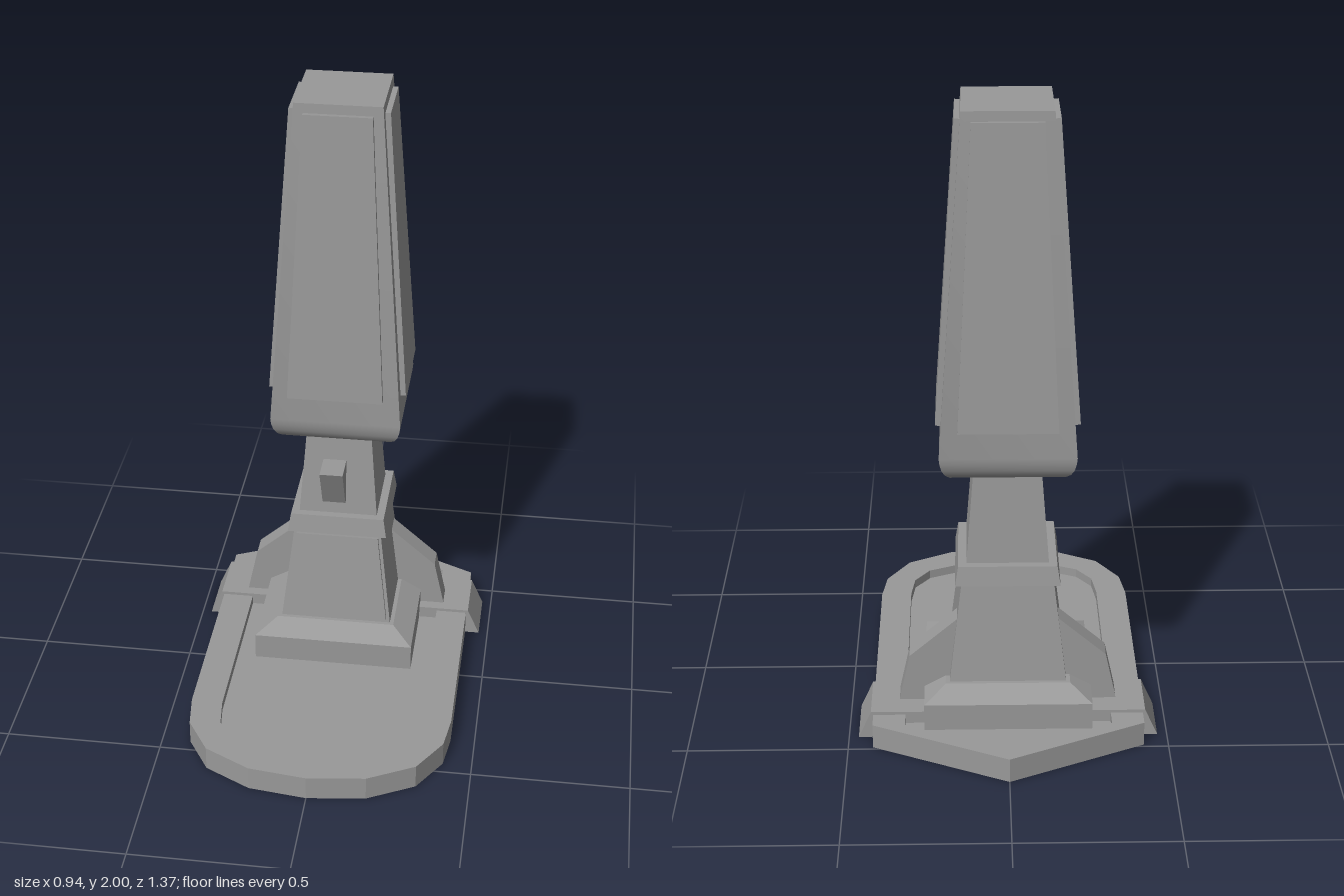
import * as THREE from 'three';
import { toCreasedNormals } from 'three/addons/utils/BufferGeometryUtils.js';

const AXIS_Z = -0.21; // the tower stands behind the middle of the base

export function createModel() {
  const root = new THREE.Group();
  root.name = 'pylon';
  const grey = new THREE.MeshStandardMaterial({ color: 0x999999, side: THREE.DoubleSide });
  grey.name = 'plainGrey';

  const add = (parent, name, geometry) => {
    const mesh = new THREE.Mesh(geometry, grey);
    mesh.name = name;
    parent.add(mesh);
    return mesh;
  };
  const vectors = (points) => points.map(([x, y]) => new THREE.Vector2(x, y));

  // Square tower section from [half width, height] pairs, bottom to top
  const square = (profile) => {
    const first = profile[0][1], last = profile[profile.length - 1][1];
    const points = profile.map(([half, y]) => [half * Math.SQRT2, y]);
    const geo = new THREE.LatheGeometry(
      vectors([[0, first], ...points, [0, last]]), 4, Math.PI / 4);
    return toCreasedNormals(geo, 0.45);
  };

  // Open ribbon following 2D points, running along z from h0 to h1
  const ribbon = (points, h0, h1, closed) => {
    const pos = [];
    const count = closed ? points.length : points.length - 1;
    for (let i = 0; i < count; i++) {
      const [ax, ay] = points[i];
      const [bx, by] = points[(i + 1) % points.length];
      pos.push(ax, ay, h0, bx, by, h0, bx, by, h1, ax, ay, h0, bx, by, h1, ax, ay, h1);
    }
    const geo = new THREE.BufferGeometry();
    geo.setAttribute('position', new THREE.Float32BufferAttribute(pos, 3));
    geo.computeVertexNormals();
    return geo;
  };

  // Trapezoid plate lying on a tapered face between two heights
  const plate = (y0, w0, r0, y1, w1, r1, thick) => {
    const len = Math.hypot(y1 - y0, r0 - r1);
    const shape = new THREE.Shape(vectors([[-w0, 0], [w0, 0], [w1, len], [-w1, len]]));
    const geo = new THREE.ExtrudeGeometry(shape, { depth: thick + 0.005, bevelEnabled: false });
    geo.translate(0, 0, -0.005);
    geo.rotateX(-Math.atan2(r0 - r1, y1 - y0));
    return geo.translate(0, y0, r0);
  };

  // Base tray: pointed at the back, round at the front, open underneath
  const mirrored = (half) => [
    ...half, ...half.slice(1, -1).reverse().map(([x, y]) => [-x, y])];
  const outer = mirrored([[0, -0.68], [0.185, -0.657], [0.333, -0.58], [0.408, -0.46],
    [0.423, -0.345], [0.423, 0.49], [0, 0.688]]);
  const inner = mirrored([[0, -0.585], [0.15, -0.565], [0.26, -0.518], [0.31, -0.448],
    [0.322, -0.35], [0.322, 0.49], [0, 0.635]]);
  const base = new THREE.Group();
  base.name = 'base';
  root.add(base);
  const rim = new THREE.Shape(vectors(outer));
  rim.holes.push(new THREE.Path(vectors(inner)));
  const flat = (geo, y) => geo.rotateX(-Math.PI / 2).translate(0, y, 0);
  add(base, 'baseWall', flat(ribbon(outer, 0, 0.08, true), 0));
  add(base, 'recessWall', flat(ribbon([...inner].reverse(), 0.05, 0.08, true), 0));
  add(base, 'baseRim', flat(new THREE.ShapeGeometry(rim), 0.08));
  add(base, 'baseFloor', flat(new THREE.ShapeGeometry(new THREE.Shape(vectors(inner))), 0.05));

  // Strap across the base, open underneath
  const strap = new THREE.Group();
  strap.name = 'crossStrap';
  root.add(strap);
  const strapOutline = [[0.47, 0], [0.43, 0.09], [-0.43, 0.09], [-0.47, 0]];
  add(strap, 'strapTop', ribbon(strapOutline, -0.43, -0.247, false));
  const strapEnd = new THREE.ShapeGeometry(new THREE.Shape(vectors(strapOutline)));
  add(strap, 'strapFront', strapEnd).position.z = -0.247;
  add(strap, 'strapBack', strapEnd.clone().rotateY(Math.PI)).position.z = -0.43;

  // Tower sections
  const tower = new THREE.Group();
  tower.name = 'tower';
  tower.position.z = AXIS_Z;
  root.add(tower);
  add(tower, 'plinth', square([[0.262, 0.045], [0.262, 0.138], [0.195, 0.176]]));
  add(tower, 'lowerColumn', square([[0.183, 0.17], [0.143, 0.505]]));
  add(tower, 'collar', square([[0.163, 0.502], [0.153, 0.565]]));
  add(tower, 'upperColumn', square([[0.128, 0.56], [0.103, 0.885]]));
  add(tower, 'head', square([[0.175, 0.88], [0.189, 0.893], [0.199, 0.912],
    [0.205, 0.935], [0.207, 0.955], [0.134, 2]]));

  // Thin panel on the front of the lower column
  add(tower, 'columnPanel', plate(0.188, 0.17, 0.181, 0.49, 0.135, 0.145, 0.012));

  // Raised panels on all four sides of the head
  for (let i = 0; i < 4; i++) {
    const panel = add(tower, 'headPanel', plate(1.04, 0.151, 0.201, 1.97, 0.105, 0.136, 0.017));
    panel.rotation.y = i * Math.PI / 2;
  }

  // Wedge-shaped hook on the front; its outline is (z, y), extruded across x
  const hookShape = new THREE.Shape(vectors([[0.09, 0.76], [0.09, 0.612], [0.138, 0.612], [0.21, 0.76]]));
  const hook = new THREE.ExtrudeGeometry(hookShape, { depth: 0.075, bevelEnabled: false });
  add(tower, 'hook', hook.rotateY(-Math.PI / 2).translate(0.025, 0, 0));

  // Side fins bracing the lower column
  for (const side of [1, -1]) {
    const outline = [[0.12, 0.06], [0.345, 0.06], [0.34, 0.1], [0.308, 0.247], [0.153, 0.382], [0.12, 0.382]];
    const shape = new THREE.Shape(vectors(outline.map(([x, y]) => [side * x, y])));
    const fin = new THREE.ExtrudeGeometry(shape, { depth: 0.072, bevelEnabled: false });
    add(root, side > 0 ? 'leftFin' : 'rightFin', fin).position.z = -0.355;
  }
  return root;
}
